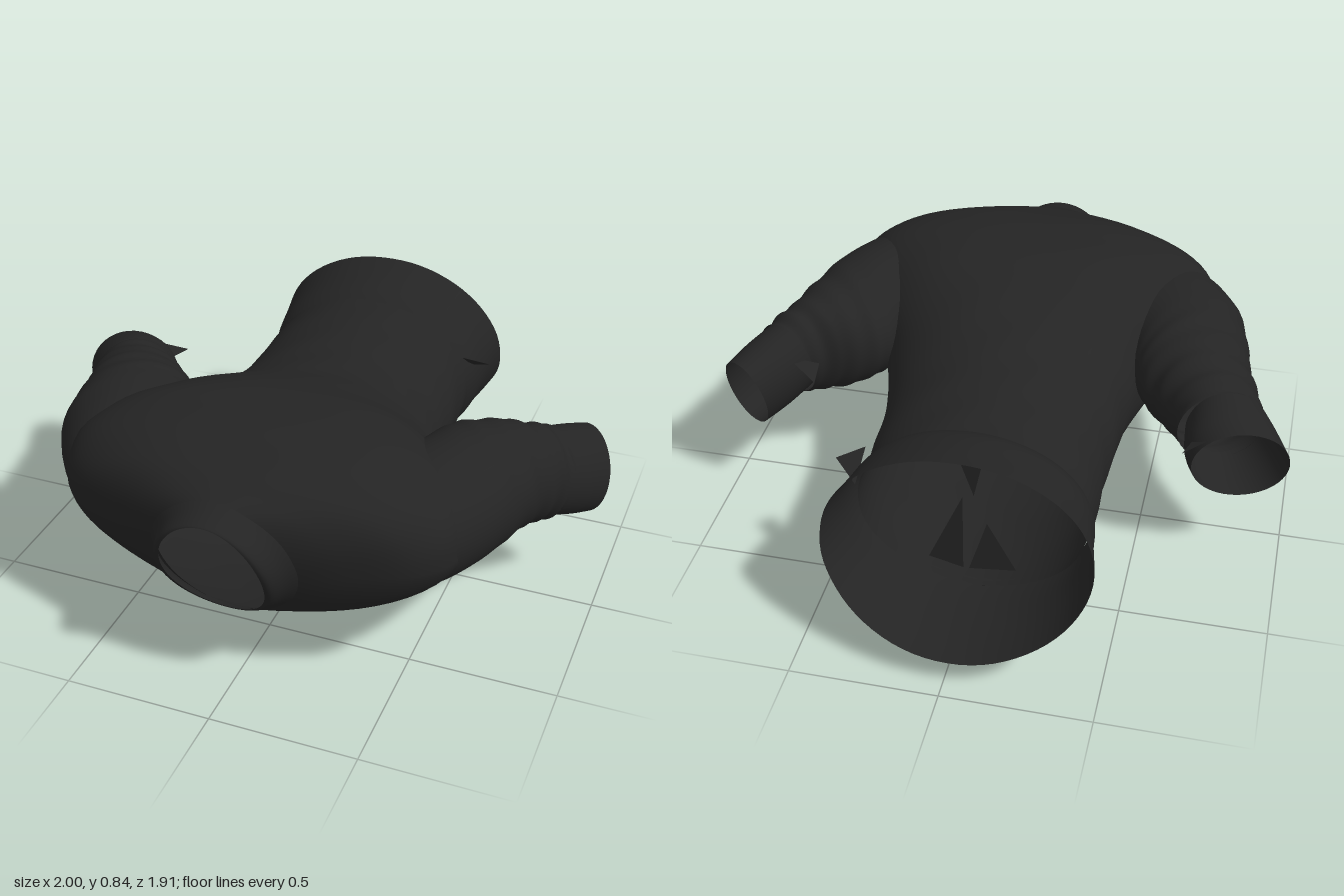
import * as THREE from 'three';

const charcoal = new THREE.MeshStandardMaterial({ color: 0x242424, side: THREE.DoubleSide });
charcoal.name = 'charcoal cloth';

// Smooth interpolation through rows of numbers, t in 0..1
function sampleRows(rows, t) {
  const f = t * (rows.length - 1);
  const i = Math.min(Math.floor(f), rows.length - 2);
  const u = f - i;
  const at = k => rows[Math.max(0, Math.min(rows.length - 1, k))];
  return rows[i].map((b, c) => {
    const a = at(i - 1)[c], d = at(i + 1)[c], e = at(i + 2)[c];
    return b + 0.5 * u * (d - a + u * (2 * a - 5 * b + 4 * d - e + u * (3 * (b - d) + e - a)));
  });
}

// Open tube: point(t, angle) gives each vertex
function loft(name, steps, sides, point) {
  const pos = [], index = [];
  for (let i = 0; i <= steps; i++) {
    for (let j = 0; j < sides; j++) pos.push(...point(i / steps, j / sides * Math.PI * 2));
  }
  for (let i = 0; i < steps; i++) {
    for (let j = 0; j < sides; j++) {
      const a = i * sides + j, b = i * sides + (j + 1) % sides;
      index.push(a, b, a + sides, b, b + sides, a + sides);
    }
  }
  const g = new THREE.BufferGeometry();
  g.setAttribute('position', new THREE.Float32BufferAttribute(pos, 3));
  g.setIndex(index);
  g.computeVertexNormals();
  const mesh = new THREE.Mesh(g, charcoal);
  mesh.name = name;
  return mesh;
}

const signedPow = (v, p) => Math.sign(v) * Math.pow(Math.abs(v), p);

// Tilted body section: [zTop, zBottom, halfWidth, yTop, yBottom, xCentre, squareness]
// The upper half gets squarer and the lower half more pointed as squareness grows past 2
function bodyTube(name, rows, steps, power, crease) {
  return loft(name, steps, 72, (t, a) => {
    const [zt, zb, w, yt, yb, cx, n] = sampleRows(rows, t);
    const p = 2 / (Math.sin(a) > 0 ? n : 3 - n / 2);
    const c = signedPow(Math.cos(a), p), s = signedPow(Math.sin(a), p);
    const z = zt + (zb - zt) * Math.pow((1 - s) / 2, power);
    const fold = 1 + crease * Math.sin(z * 26 + 4 * Math.sin(a * 2)) * Math.sin(a * 3 + z * 5);
    return [cx + w * c * fold, (yt + yb) / 2 + (yt - yb) / 2 * s * fold, z];
  });
}

// Sleeve section: [outer x, outer z, inner x, inner z, yCentre, halfHeight, backward lean of the top]
function sleeveTube(name, rows, steps, side, crease) {
  return loft(name, steps, 40, (t, angle) => {
    const a = side > 0 ? angle : Math.PI - angle;
    const [xo, zo, xi, zi, y, h, lean] = sampleRows(rows, t);
    const mask = crease * Math.max(0, Math.min(1, t * 2 - 0.5));
    const fold = 1 + mask * (Math.sin(t * 44 + 2.2 * Math.sin(a + side)) + 0.6 * Math.sin(t * 27 - a * 2));
    const c = Math.cos(a) * fold / 2;
    return [
      side * ((xo + xi) / 2 + (xo - xi) * c),
      y + Math.sin(a) * h * fold,
      (zo + zi) / 2 + (zo - zi) * c - lean * Math.sin(a),
    ];
  });
}

// Loose torn pieces of cloth, each a triangle
function scraps(name, triangles) {
  const g = new THREE.BufferGeometry();
  g.setAttribute('position', new THREE.Float32BufferAttribute(triangles.flat(), 3));
  g.computeVertexNormals();
  const mesh = new THREE.Mesh(g, charcoal);
  mesh.name = name;
  return mesh;
}

export function createModel() {
  const model = new THREE.Group();
  model.name = 'sweater';

  // Collar, a slightly raised band around the neck opening
  model.add(bodyTube('collar', [
    [0.955, 0.785, 0.17, 0.70, 0.285, -0.015, 2],
    [0.945, 0.78, 0.192, 0.707, 0.278, -0.015, 2],
    [0.885, 0.75, 0.218, 0.728, 0.262, -0.01, 2],
    [0.84, 0.725, 0.26, 0.742, 0.25, -0.01, 2.1],
  ], 12, 1.7, 0));

  // Torso with rounded shoulders, tapering to the waist
  model.add(bodyTube('torso', [
    [0.87, 0.745, 0.228, 0.732, 0.262, -0.01, 2],
    [0.82, 0.725, 0.37, 0.755, 0.25, 0, 2.2],
    [0.74, 0.675, 0.565, 0.79, 0.232, 0, 2.4],
    [0.62, 0.59, 0.665, 0.828, 0.205, 0, 2.6],
    [0.46, 0.46, 0.66, 0.845, 0.168, 0, 2.7],
    [0.30, 0.30, 0.57, 0.83, 0.138, 0, 2.6],
    [0.15, 0.15, 0.48, 0.785, 0.122, 0, 2.3],
    [0.02, 0.02, 0.435, 0.747, 0.113, 0, 2.1],
    [-0.15, -0.15, 0.405, 0.725, 0.112, -0.01, 2],
    [-0.32, -0.32, 0.392, 0.722, 0.115, -0.015, 2],
    [-0.48, -0.48, 0.388, 0.725, 0.118, -0.02, 2],
    [-0.60, -0.60, 0.38, 0.735, 0.122, -0.02, 2],
  ], 66, 1.4, 0.006));

  // Hem band, flaring out and longer underneath
  model.add(bodyTube('hem', [
    [-0.55, -0.57, 0.385, 0.728, 0.122, -0.02, 2],
    [-0.60, -0.62, 0.402, 0.752, 0.115, -0.02, 2],
    [-0.70, -0.75, 0.415, 0.775, 0.113, -0.02, 2],
    [-0.795, -0.955, 0.437, 0.795, 0.108, -0.02, 2],
  ], 18, 2.4, 0.003));

  // Sleeves curving back from the shoulders, the right one ending wider
  model.add(sleeveTube('leftSleeve', [
    [0.47, 0.67, 0.34, 0.26, 0.54, 0.20, 0],
    [0.63, 0.64, 0.40, 0.17, 0.545, 0.212, 0],
    [0.745, 0.46, 0.43, 0.09, 0.55, 0.207, 0],
    [0.80, 0.29, 0.47, 0.04, 0.545, 0.197, 0],
    [0.84, 0.16, 0.55, 0.0, 0.53, 0.187, 0.01],
    [0.88, 0.08, 0.63, -0.02, 0.515, 0.172, 0.02],
    [0.905, 0.035, 0.68, -0.06, 0.505, 0.158, 0.03],
  ], 60, 1, 0.022));
  model.add(sleeveTube('leftCuff', [
    [0.895, 0.06, 0.685, -0.05, 0.51, 0.147, 0.03],
    [0.95, -0.02, 0.74, -0.14, 0.48, 0.15, 0.035],
    [0.995, -0.105, 0.805, -0.225, 0.45, 0.146, 0.04],
  ], 10, 1, 0));
  model.add(sleeveTube('rightSleeve', [
    [0.47, 0.67, 0.34, 0.26, 0.54, 0.20, 0],
    [0.63, 0.65, 0.40, 0.18, 0.545, 0.212, 0],
    [0.765, 0.47, 0.43, 0.11, 0.55, 0.207, 0],
    [0.81, 0.30, 0.46, 0.05, 0.545, 0.197, 0],
    [0.835, 0.17, 0.52, -0.01, 0.53, 0.187, 0.01],
    [0.87, 0.06, 0.58, -0.07, 0.515, 0.175, 0.02],
    [0.90, -0.01, 0.62, -0.12, 0.50, 0.162, 0.03],
  ], 60, -1, 0.022));
  model.add(sleeveTube('rightCuff', [
    [0.89, 0.01, 0.64, -0.10, 0.505, 0.152, 0.03],
    [0.95, -0.08, 0.65, -0.19, 0.48, 0.157, 0.03],
    [1.0, -0.165, 0.68, -0.24, 0.455, 0.152, 0.03],
  ], 10, -1, 0));

  // Torn cloth at the hem seam, inside the body and by the cuffs
  model.add(scraps('hemScraps', [
    [-0.12, 0.12, -0.59, -0.05, 0.12, -0.60, -0.055, 0, -0.615],
    [0.35, 0.58, -0.52, 0.36, 0.50, -0.62, 0.44, 0.55, -0.56],
  ]));
  model.add(scraps('innerScraps', [
    [-0.07, 0.71, -0.58, 0.05, 0.71, -0.58, -0.02, 0.48, -0.57],
    [0.02, 0.16, -0.57, 0.14, 0.18, -0.56, 0.02, 0.46, -0.56],
    [-0.16, 0.18, -0.57, 0.0, 0.16, -0.57, -0.06, 0.36, -0.56],
  ]));
  model.add(scraps('cuffScraps', [
    [-0.80, 0.60, -0.20, -0.68, 0.54, -0.20, -0.65, 0.54, -0.285],
    [0.66, 0.54, -0.06, 0.76, 0.58, -0.10, 0.65, 0.52, -0.15],
  ]));

  return model;
}
